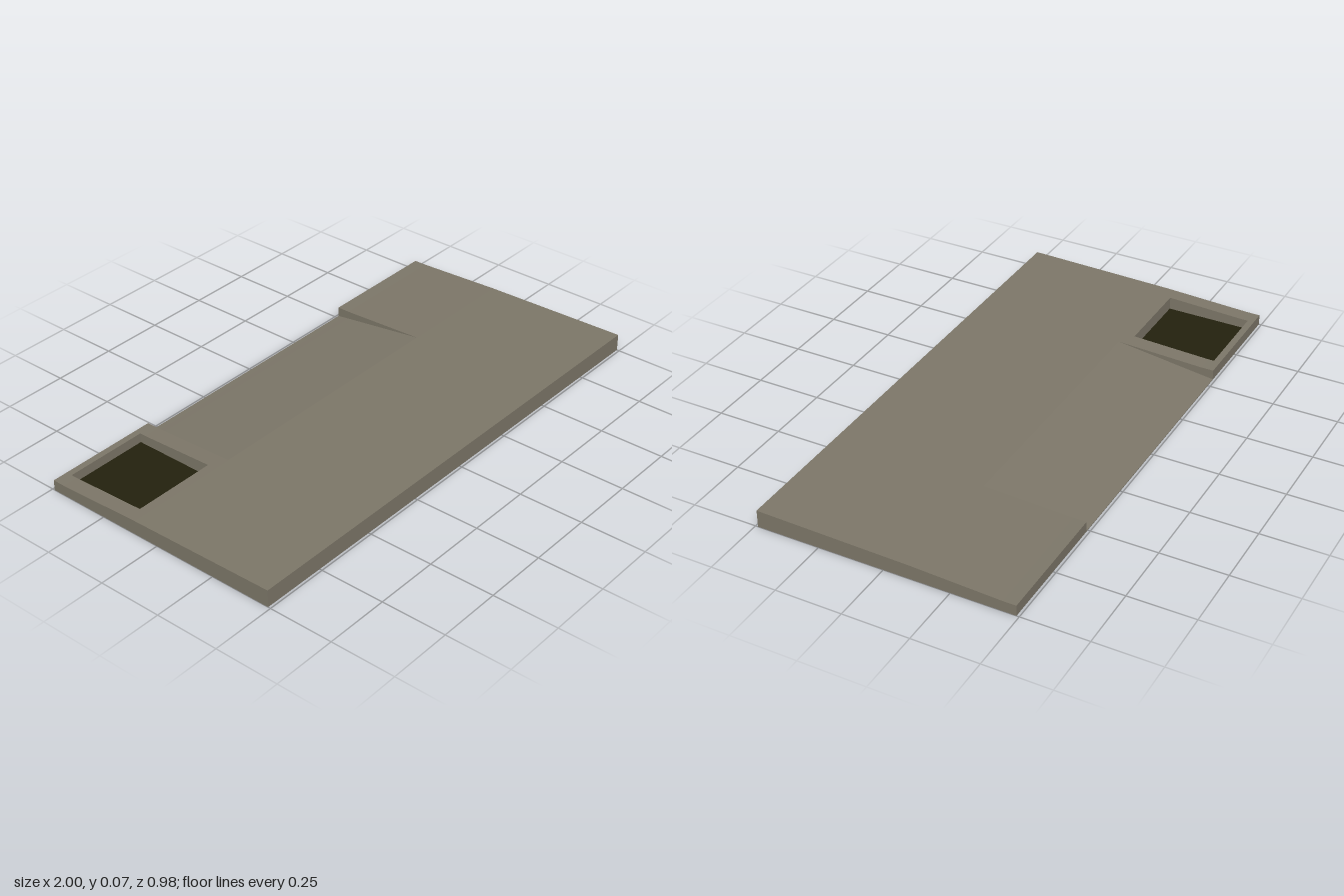
import * as THREE from 'three';

const slabMaterial = new THREE.MeshStandardMaterial({ color: 0x7c7668 });
slabMaterial.name = 'stone grey';
const pitMaterial = new THREE.MeshStandardMaterial({ color: 0x23210e });
pitMaterial.name = 'dark drain';

// Grid lines that bound the pit and the ramp
const xs = [-1, -0.94, -0.61, -0.545, 0.51, 1];
const zs = [-0.49, -0.465, -0.44, -0.135, -0.1, 0.49];
const slabTop = [0.041, 0.041, 0.041, 0.0535, 0.055, 0.067];
const rampTop = [0.003, 0.0063, 0.0097, 0.0503, 0.055, 0.067];

// Top height of cell (i, j) at grid row k; the pit and the outside are empty
function topOf(i, j, k) {
  if (i < 0 || j < 0 || i > 4 || j > 4) return 0;
  if (i === 1 && (j === 1 || j === 2)) return 0;
  return i === 3 ? rampTop[k] : slabTop[k];
}

function slabGeometry() {
  const points = [];
  const quad = (a, b, c, d) => points.push(...a, ...b, ...c, ...a, ...c, ...d);
  const neighbours = [[0, 1], [1, 0], [0, -1], [-1, 0]];
  for (let i = 0; i < 5; i++) {
    for (let j = 0; j < 5; j++) {
      if (topOf(i, j, j) === 0) continue;
      const corners = [[i, j + 1], [i + 1, j + 1], [i + 1, j], [i, j]];
      const at = ([a, k], y) => [xs[a], y, zs[k]];
      const upper = corners.map((c) => at(c, topOf(i, j, c[1])));
      const lower = corners.map((c) => at(c, 0));
      quad(...upper);
      quad(...lower.reverse());
      // Walls only where the neighbouring cell is lower
      neighbours.forEach(([di, dj], s) => {
        const p = corners[s], q = corners[(s + 1) % 4];
        const np = topOf(i + di, j + dj, p[1]), nq = topOf(i + di, j + dj, q[1]);
        const tp = topOf(i, j, p[1]), tq = topOf(i, j, q[1]);
        if (tp > np || tq > nq) quad(at(p, np), at(q, nq), at(q, tq), at(p, tp));
      });
    }
  }
  const geometry = new THREE.BufferGeometry();
  geometry.setAttribute('position', new THREE.Float32BufferAttribute(points, 3));
  geometry.computeVertexNormals();
  return geometry;
}

export function createModel() {
  const group = new THREE.Group();
  group.name = 'pavementSlab';

  // Sloping slab with a dropped ramp and a square pit
  const slab = new THREE.Mesh(slabGeometry(), slabMaterial);
  slab.name = 'slabWithRamp';
  group.add(slab);

  // Dark plate closing the bottom of the pit
  const drain = new THREE.Mesh(new THREE.BoxGeometry(0.33, 0.004, 0.33), pitMaterial);
  drain.name = 'pitFloor';
  drain.position.set(-0.775, 0.002, -0.3);
  group.add(drain);

  return group;
}
